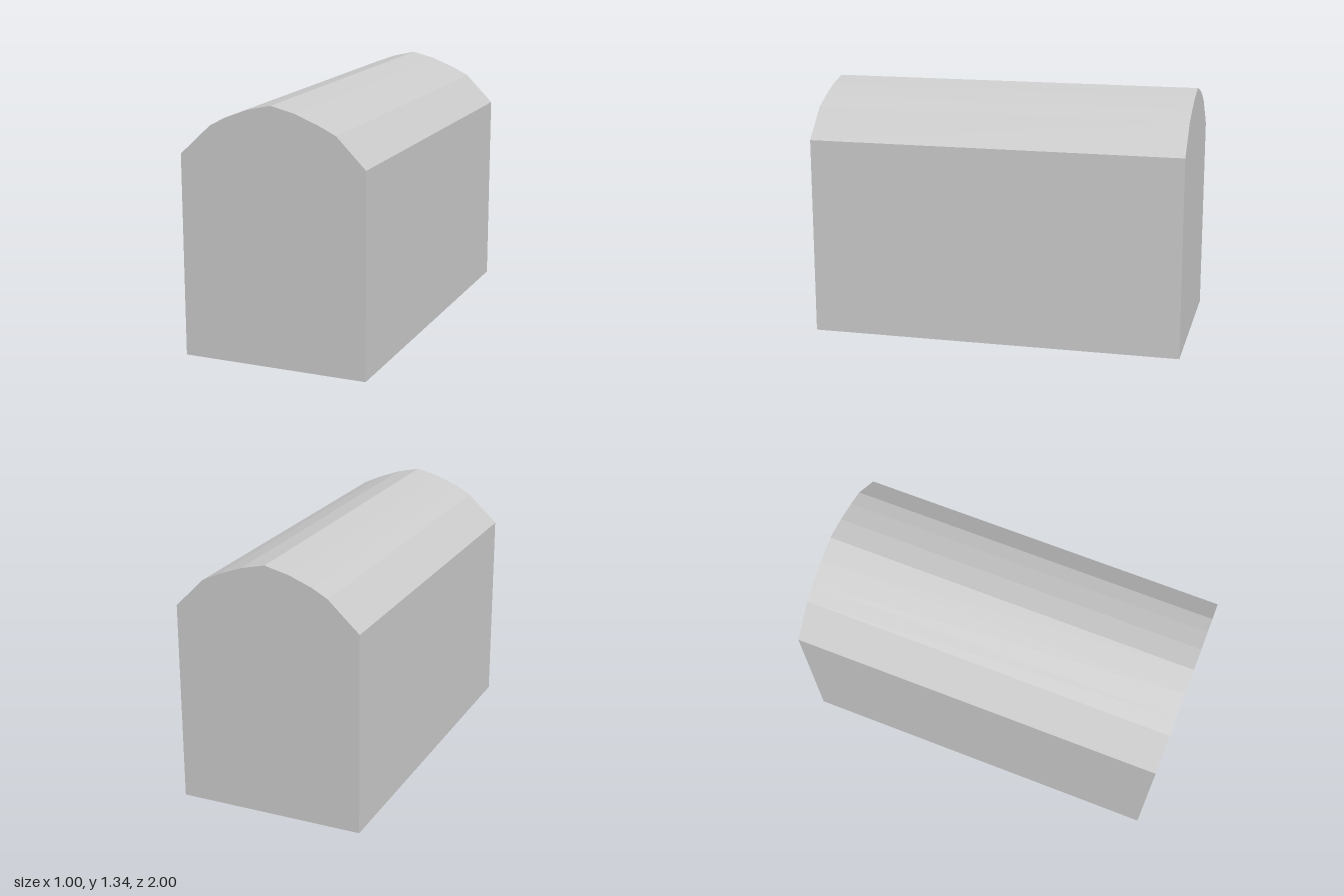
import * as THREE from 'three';

export function createModel() {
  const model = new THREE.Group();
  model.name = 'vaultedBlock';
  const material = new THREE.MeshStandardMaterial({ color: 0xcccccc, flatShading: true });

  // Cross-section: straight walls under a faceted barrel roof
  const profile = [
    [-0.5, 0], [0.5, 0], [0.5, 1.065],
    [0.345, 1.22], [0.25, 1.265], [0.128, 1.312], [0, 1.342],
    [-0.128, 1.312], [-0.25, 1.265], [-0.333, 1.22], [-0.5, 1.065],
  ];
  const shape = new THREE.Shape(profile.map(([x, y]) => new THREE.Vector2(x, y)));

  // Solid body running the full depth
  const length = 2;
  const geometry = new THREE.ExtrudeGeometry(shape, { depth: length, bevelEnabled: false });
  geometry.translate(0, 0, -length / 2);
  const body = new THREE.Mesh(geometry, material);
  body.name = 'bodyWithBarrelRoof';
  model.add(body);

  return model;
}
